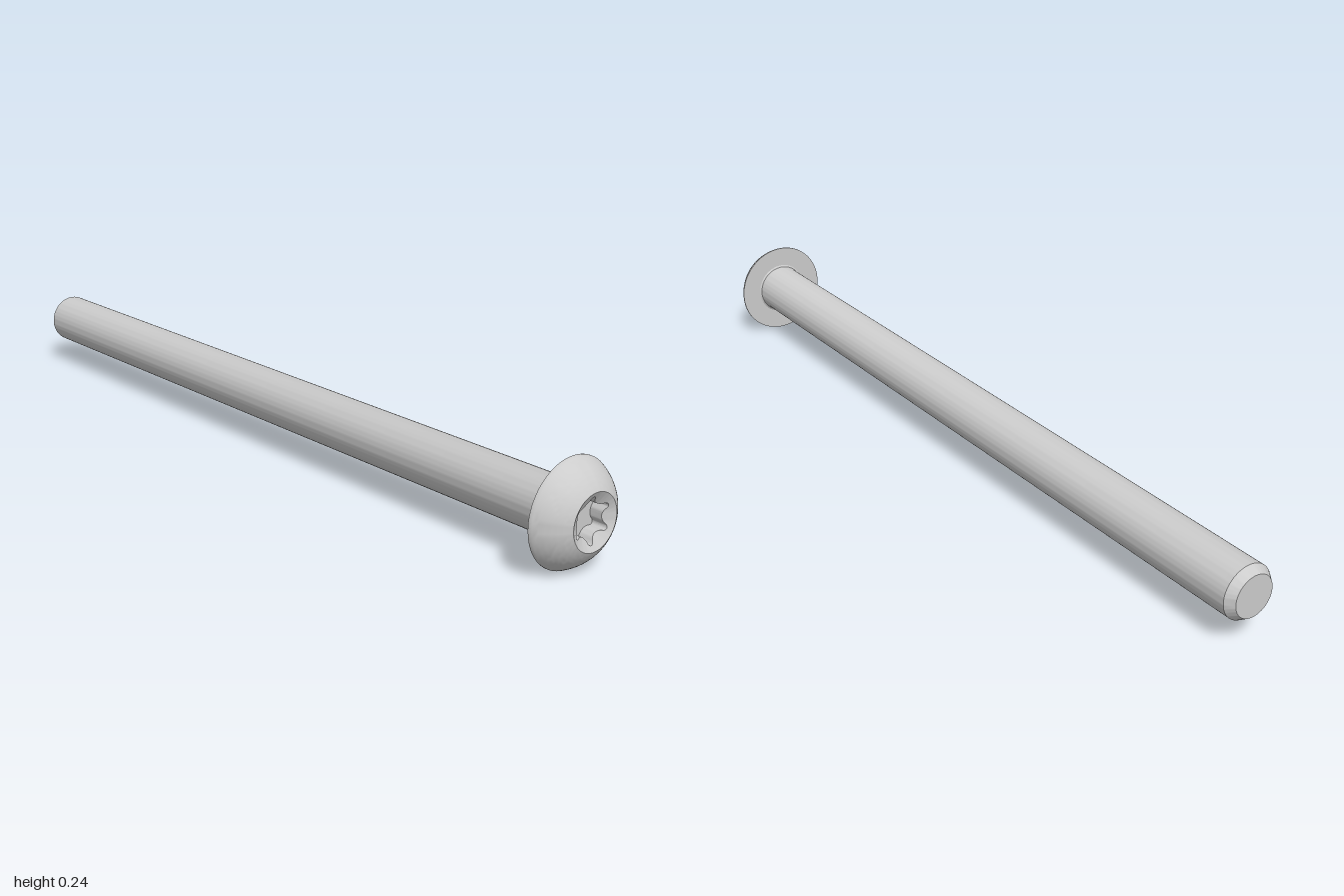
import * as THREE from 'three';
import { toCreasedNormals } from 'three/addons/utils/BufferGeometryUtils.js';

const HEAD_R = 0.1205, SHANK_R = 0.063, MOUTH_R = 0.063;
const HEAD_BACK = 0.935, FLOOR_Z = 0.955;

// Turned part along z, from a profile of [radius, z] running back to front
function turned(profile, material, name) {
  const points = profile.map(([r, z]) => new THREE.Vector2(r, z));
  const geometry = new THREE.LatheGeometry(points, 72).rotateX(Math.PI / 2);
  const mesh = new THREE.Mesh(toCreasedNormals(geometry, 0.45), material);
  mesh.name = name;
  return mesh;
}

// Six-lobed outline: small convex tips joined by tangent concave arcs
function lobedOutline() {
  const tipR = 0.007, tipD = 0.044, valleyR = 0.0242, valleyD = 0.0602;
  const a = Math.atan2(valleyD * 0.5, valleyD * Math.cos(Math.PI / 6) - tipD);
  const points = [];
  const arc = (dir, dist, r, from, to, steps) => {
    for (let i = 0; i < steps; i++) {
      const t = from + (to - from) * i / steps;
      points.push(new THREE.Vector2(
        dist * Math.cos(dir) + r * Math.cos(t),
        dist * Math.sin(dir) + r * Math.sin(t)));
    }
  };
  for (let k = 0; k < 6; k++) {
    const tip = Math.PI / 6 + k * Math.PI / 3;
    arc(tip, tipD, tipR, tip - a, tip + a, 8);
    arc(tip + Math.PI / 6, valleyD, valleyR,
      tip + a + Math.PI, tip + Math.PI / 3 - a + Math.PI, 10);
  }
  return points;
}

// Socket: countersunk mouth, lobed wall and flat floor
function socketGeometry() {
  const outline = lobedOutline(), n = outline.length;
  const rings = [
    outline.map(p => { const q = p.clone().setLength(MOUTH_R); return [q.x, q.y, 1]; }),
    outline.map(p => [p.x, p.y, 1 - (MOUTH_R - p.length()) * 0.577]),
    outline.map(p => [p.x, p.y, FLOOR_Z]),
    outline.map(() => [0, 0, FLOOR_Z]),
  ];
  const index = [];
  for (let i = 0; i < rings.length - 1; i++) {
    for (let j = 0; j < n; j++) {
      const a = i * n + j, b = i * n + (j + 1) % n, c = a + n, d = b + n;
      index.push(a, b, c);
      if (i < rings.length - 2) index.push(b, d, c);
    }
  }
  const geometry = new THREE.BufferGeometry();
  geometry.setAttribute('position', new THREE.Float32BufferAttribute(rings.flat(2), 3));
  geometry.setIndex(index);
  return toCreasedNormals(geometry, 0.5);
}

export function createModel() {
  const material = new THREE.MeshStandardMaterial({ color: 0xcccccc });
  const screw = new THREE.Group();
  screw.name = 'screw';

  // Shank with chamfered tip and a small fillet under the head
  screw.add(turned([
    [0, -1], [0.049, -1], [SHANK_R, -0.98], [SHANK_R, HEAD_BACK - 0.007],
    [0.0645, HEAD_BACK - 0.003], [0.069, HEAD_BACK],
  ], material, 'shank'));

  // Button head: flat underside, thin rim, spherical dome
  const rimZ = HEAD_BACK + 0.003;
  const centreZ = (1 + MOUTH_R ** 2 - HEAD_R ** 2 - rimZ ** 2) / (2 * (1 - rimZ));
  const domeR = Math.hypot(MOUTH_R, 1 - centreZ);
  const start = Math.atan2(rimZ - centreZ, HEAD_R);
  const end = Math.atan2(1 - centreZ, MOUTH_R);
  const head = [[SHANK_R - 0.002, HEAD_BACK], [HEAD_R, HEAD_BACK]];
  for (let i = 0; i <= 14; i++) {
    const t = start + (end - start) * i / 14;
    head.push([domeR * Math.cos(t), centreZ + domeR * Math.sin(t)]);
  }
  screw.add(turned(head, material, 'head'));

  // Drive socket
  const socket = new THREE.Mesh(socketGeometry(), material);
  socket.name = 'driveSocket';
  screw.add(socket);

  screw.position.y = HEAD_R;
  const model = new THREE.Group();
  model.name = 'buttonHeadScrew';
  model.add(screw);
  return model;
}
